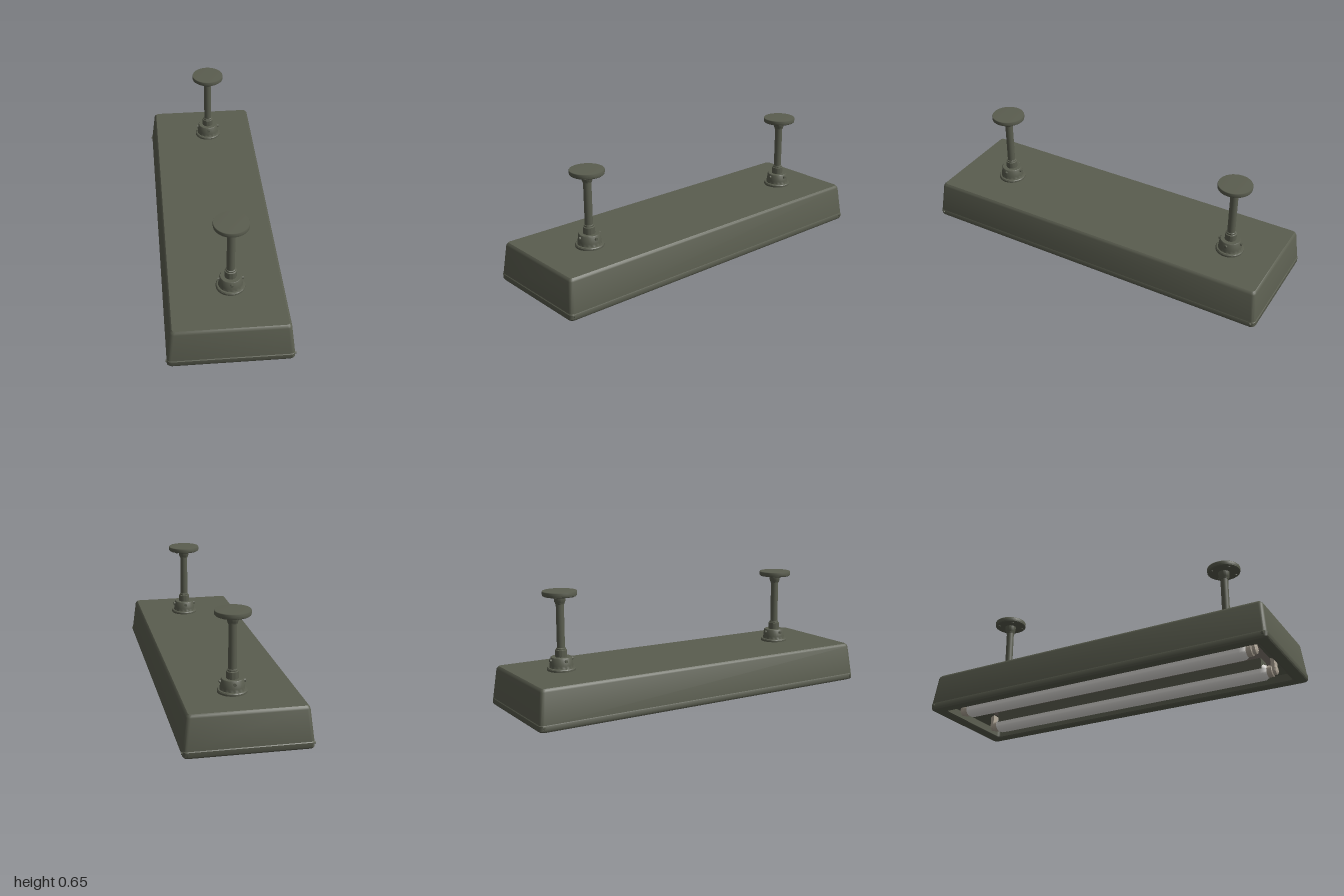
import * as THREE from 'three';
import { toCreasedNormals } from 'three/addons/utils/BufferGeometryUtils.js';

const mat = (name, color, side = THREE.FrontSide) => {
  const m = new THREE.MeshStandardMaterial({ color, side });
  m.name = name;
  return m;
};

// Stacks rounded rectangles [y, halfX, halfZ, cornerRadius] into a skin
function loft(rings, crease = 0.6, seg = 4) {
  const pos = [], idx = [], n = 4 * (seg + 1);
  for (const [y, hx, hz, r] of rings) {
    for (let c = 0; c < 4; c++) {
      const sx = c === 0 || c === 3 ? 1 : -1, sz = c < 2 ? 1 : -1;
      for (let k = 0; k <= seg; k++) {
        const a = (c + k / seg) * Math.PI / 2;
        pos.push(sx * (hx - r) + r * Math.cos(a), y, sz * (hz - r) + r * Math.sin(a));
      }
    }
  }
  for (let i = 0; i < rings.length - 1; i++) {
    for (let j = 0; j < n; j++) {
      const a = i * n + j, b = i * n + (j + 1) % n;
      idx.push(a, a + n, b, b, a + n, b + n);
    }
  }
  const g = new THREE.BufferGeometry();
  g.setAttribute('position', new THREE.Float32BufferAttribute(pos, 3));
  g.setIndex(idx);
  return toCreasedNormals(g, crease);
}

// Turned part from [radius, height] pairs, bottom to top
function turned(points, seg = 32, crease = 0.6) {
  const g = new THREE.LatheGeometry(points.map(p => new THREE.Vector2(...p)), seg);
  return crease ? toCreasedNormals(g, crease) : g;
}

export function createModel() {
  const paint = mat('olive paint', 0x5a5d4f);
  const innerPaint = mat('inner olive paint', 0x5a5d4f, THREE.DoubleSide);
  const reflectorMat = mat('reflector grey', 0x8a8078, THREE.DoubleSide);
  const glass = mat('lamp glass', 0xf0eeea);
  const socketMat = mat('socket beige', 0xb5ab9c);

  const model = new THREE.Group();
  const add = (parent, name, geo, material, x = 0, y = 0, z = 0) => {
    const m = new THREE.Mesh(geo, material);
    m.name = name;
    m.position.set(x, y, z);
    parent.add(m);
    return m;
  };

  // Tapered housing with a flat lid
  add(model, 'housing', loft([
    [0.058, 0.316, 0.995, 0.02], [0.216, 0.297, 0.978, 0.02], [0.225, 0.293, 0.974, 0.02],
    [0.232, 0.286, 0.967, 0.016],
  ]), paint);
  add(model, 'housingTop', loft([[0.232, 0.286, 0.967, 0.016], [0.232, 0, 0, 0]], 0.1), paint);

  // Frame around the opening
  add(model, 'rim', loft([
    [0.07, 0.255, 0.93, 0.02], [0.026, 0.255, 0.93, 0.02], [0.02, 0.261, 0.936, 0.02],
    [0.02, 0.307, 0.988, 0.02], [0.023, 0.313, 0.994, 0.022], [0.03, 0.317, 0.998, 0.022],
    [0.054, 0.317, 0.998, 0.022], [0.059, 0.314, 0.994, 0.02], [0.059, 0.3, 0.98, 0.02],
  ]), paint);

  // Inner tray: sloped walls and a flat reflector
  add(model, 'trayWalls', loft([[0.11, 0.215, 0.86, 0.02], [0.065, 0.256, 0.931, 0.02]]), innerPaint);
  add(model, 'reflector', loft([[0.11, 0, 0, 0], [0.11, 0.215, 0.86, 0.02]], 0.1), reflectorMat);

  // Screws at the four ends of the rim sides
  const screw = new THREE.CylinderGeometry(0.006, 0.008, 0.01, 10).rotateZ(-Math.PI / 2);
  for (const s of [-1, 1]) for (const z of [-0.975, 0.975]) {
    add(model, 'rimScrew', screw, paint, s * 0.318, 0.045, z).rotation.y = s < 0 ? Math.PI : 0;
  }

  // Lamp tubes under mounting channels, with end caps and holders
  const tubeGeo = turned([
    [0.024, -0.85], [0.034, -0.838], [0.041, -0.825], [0.042, -0.81],
    [0.042, 0.81], [0.041, 0.825], [0.034, 0.838], [0.024, 0.85],
  ], 28, 0.9).rotateX(Math.PI / 2);
  const capGeo = turned([
    [0.024, 0], [0.031, 0.004], [0.031, 0.03], [0.024, 0.034], [0.024, 0.05], [0.015, 0.055], [0, 0.055],
  ], 20).rotateX(Math.PI / 2);
  const holderGeo = new THREE.BoxGeometry(0.05, 0.075, 0.02);
  const channelGeo = new THREE.BoxGeometry(0.082, 0.06, 1.64);
  for (const x of [-0.16, 0.13]) {
    const lamp = new THREE.Group();
    lamp.name = 'lamp';
    lamp.position.set(x, 0.042, 0);
    add(lamp, 'lampTube', tubeGeo, glass);
    add(lamp, 'lampChannel', channelGeo, paint, 0, 0.038, 0);
    for (const s of [-1, 1]) {
      add(lamp, 'lampCap', capGeo, socketMat, 0, 0, s * 0.838).rotation.y = s < 0 ? Math.PI : 0;
      add(lamp, 'lampHolder', holderGeo, socketMat, 0, 0.03, s * 0.875);
    }
    model.add(lamp);
  }

  // Ceiling stems
  const baseGeo = turned([
    [0.075, 0.23], [0.075, 0.241], [0.071, 0.246], [0.063, 0.247], [0.061, 0.262], [0.056, 0.298],
    [0.053, 0.302], [0.031, 0.302], [0.031, 0.338], [0.025, 0.34], [0.025, 0.347], [0.021, 0.35],
  ]);
  const pipeGeo = new THREE.CylinderGeometry(0.021, 0.021, 0.24, 20, 1, true);
  const neckGeo = turned([
    [0.021, 0.577], [0.024, 0.578], [0.025, 0.585], [0.028, 0.59], [0.031, 0.612], [0.031, 0.622],
  ]);
  const plateGeo = turned([[0.02, 0.62], [0.084, 0.62], [0.089, 0.624], [0.09, 0.632]]);
  // Upper half of the plate shades as a soft dome
  const plateTopGeo = turned([[0.09, 0.632], [0.09, 0.643], [0.088, 0.647], [0, 0.647]], 32, 0);
  const boltGeo = new THREE.CylinderGeometry(0.008, 0.008, 0.014, 8).rotateX(Math.PI / 2);
  const studGeo = new THREE.CylinderGeometry(0.008, 0.008, 0.006, 8);
  for (const z of [0.67, -0.72]) {
    const stem = new THREE.Group();
    stem.name = 'stem';
    stem.position.set(0.026, 0, z);
    add(stem, 'stemBase', baseGeo, paint);
    add(stem, 'stemPipe', pipeGeo, paint, 0, 0.465, 0);
    add(stem, 'stemNeck', neckGeo, paint);
    add(stem, 'ceilingPlate', plateGeo, paint);
    add(stem, 'ceilingPlateTop', plateTopGeo, paint);
    for (let i = 0; i < 4; i++) {
      const a = i * Math.PI / 2, d = a + Math.PI / 4;
      add(stem, 'baseBolt', boltGeo, paint, Math.sin(a) * 0.059, 0.286, Math.cos(a) * 0.059).rotation.y = a;
      add(stem, 'plateStud', studGeo, paint, Math.sin(d) * 0.07, 0.619, Math.cos(d) * 0.07);
    }
    model.add(stem);
  }
  return model;
}
